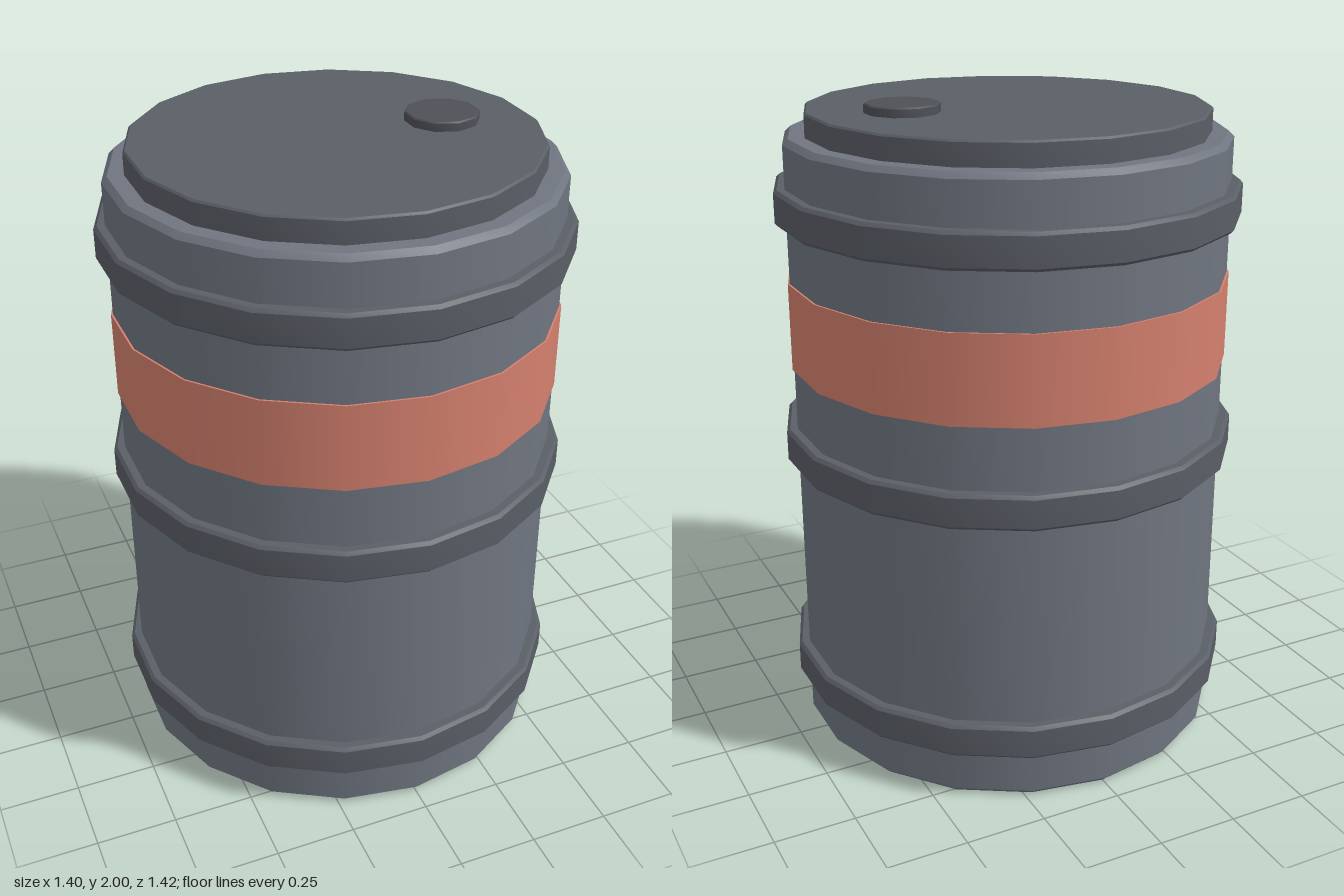
import * as THREE from 'three';
import { toCreasedNormals } from 'three/addons/utils/BufferGeometryUtils.js';

const SIDES = 18;
const CREASE = 0.65; // smooth around the wall, sharp at the bevels

const material = (color) => new THREE.MeshStandardMaterial({ color });

// Closed disc-like solid with bevelled rims, standing from y0 to y1
function bevelledDrum(name, radius, y0, y1, bevel, mat, sides = SIDES) {
  const profile = [
    [0, y0], [radius - bevel, y0], [radius, y0 + bevel],
    [radius, y1 - bevel], [radius - bevel, y1], [0, y1],
  ].map(([x, y]) => new THREE.Vector2(x, y));
  const geometry = toCreasedNormals(new THREE.LatheGeometry(profile, sides), CREASE);
  const mesh = new THREE.Mesh(geometry, mat);
  mesh.name = name;
  return mesh;
}

export function createModel() {
  const barrel = new THREE.Group();
  barrel.name = 'barrel';

  const wallMat = material(0x6f7580);
  const trimMat = material(0x5a5e66);
  const capMat = material(0x4e5157);
  const stripeMat = material(0xd4806e);

  // Main body
  barrel.add(bevelledDrum('body', 0.676, 0, 1.9, 0.017, wallMat));

  // Three reinforcing hoops
  const hoops = new THREE.Group();
  hoops.name = 'hoops';
  [0.205, 0.953, 1.7].forEach((y, i) => {
    hoops.add(bevelledDrum(`hoop${i + 1}`, 0.71, y - 0.054, y + 0.054, 0.01, trimMat));
  });
  barrel.add(hoops);

  // Painted stripe just proud of the wall
  const stripe = new THREE.Mesh(
    new THREE.CylinderGeometry(0.682, 0.682, 0.27, SIDES), stripeMat);
  stripe.name = 'stripe';
  stripe.position.y = 1.335;
  barrel.add(stripe);

  // Lid with an off-centre filler cap
  barrel.add(bevelledDrum('lid', 0.61, 1.88, 1.972, 0.006, trimMat));
  const cap = bevelledDrum('fillerCap', 0.112, 1.95, 2, 0.004, capMat, 10);
  cap.position.x = 0.338;
  barrel.add(cap);

  return barrel;
}
